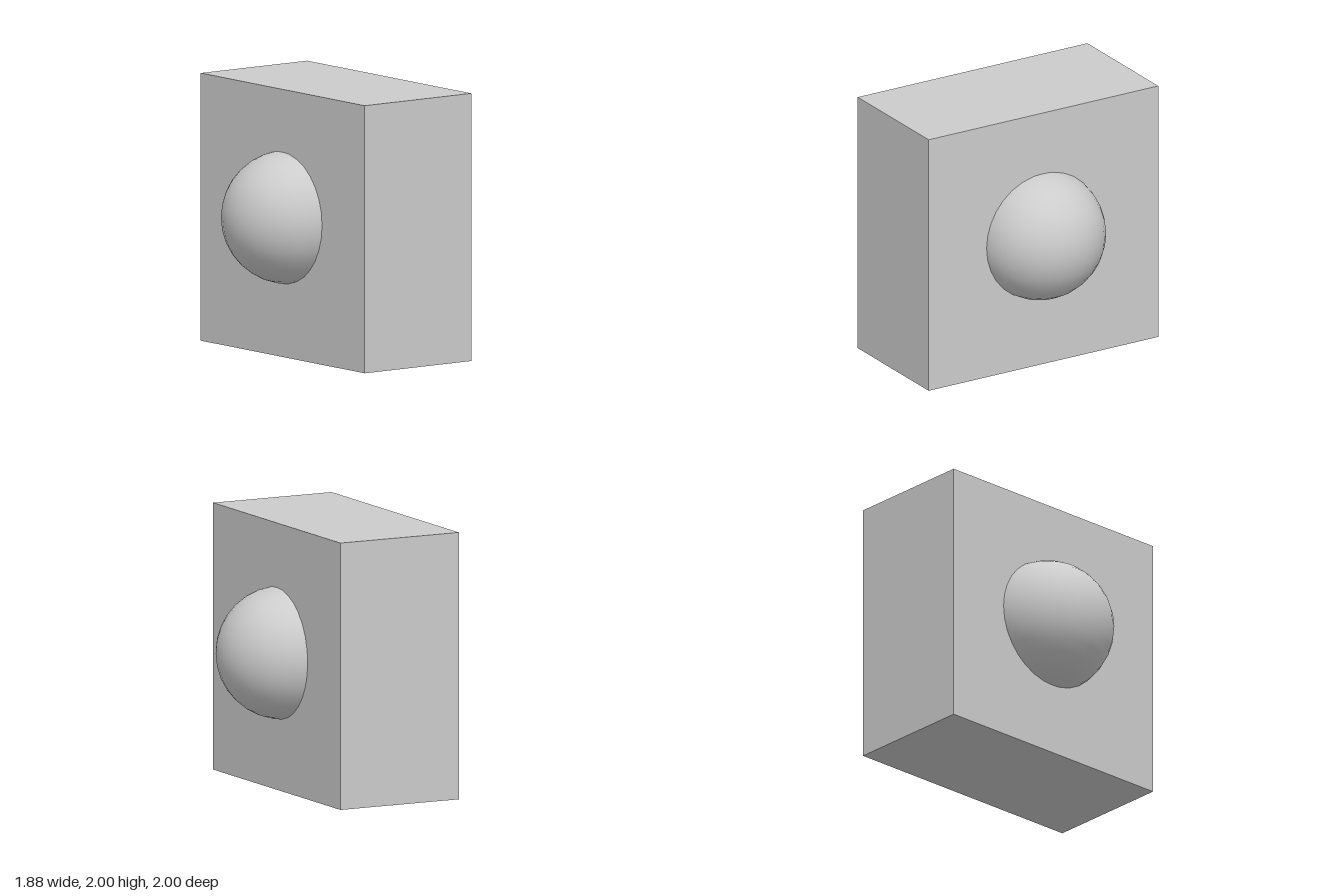
import * as THREE from 'three';

export function createModel() {
  const model = new THREE.Group();
  const material = new THREE.MeshStandardMaterial({ color: 0xcccccc });

  const add = (name, geometry, x, y, z) => {
    const mesh = new THREE.Mesh(geometry, material);
    mesh.name = name;
    mesh.position.set(x, y, z);
    model.add(mesh);
  };

  // Upright slab
  add('block', new THREE.BoxGeometry(0.99, 2, 2), -0.005, 1, 0);

  // Balls half sunk into the two broad faces, slightly offset from each other
  const ball = new THREE.SphereGeometry(0.495, 32, 16);
  add('leftBall', ball, 0.44, 1.025, 0.006);
  add('rightBall', ball, -0.445, 1.04, -0.01);

  return model;
}
